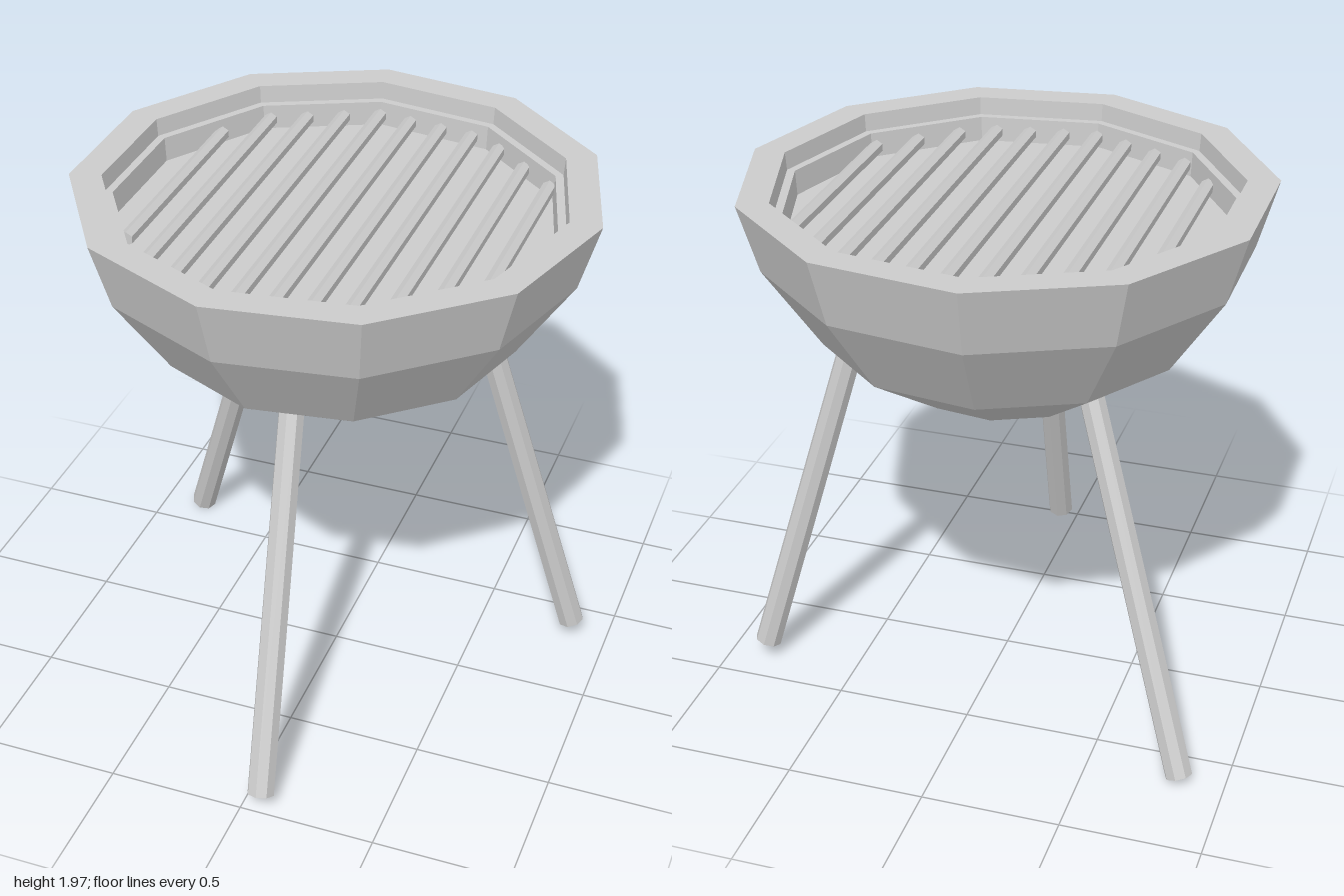
import * as THREE from 'three';

const SIDES = 11, CX = -0.024, CZ = -0.08;

// z range of the 11-sided opening of radius r along the line x = const (bowl coordinates)
function chord(x, r) {
  const zs = [];
  for (let i = 0; i < SIDES; i++) {
    const a = (i / SIDES) * Math.PI * 2, b = ((i + 1) / SIDES) * Math.PI * 2;
    const x0 = r * Math.cos(a), x1 = r * Math.cos(b);
    if ((x0 - x) * (x1 - x) > 0) continue;
    zs.push(THREE.MathUtils.lerp(r * Math.sin(a), r * Math.sin(b), (x - x0) / (x1 - x0)));
  }
  return [Math.min(...zs), Math.max(...zs)];
}

// faceted rod between two points
function rod(name, from, to, rFrom, rTo, sides, material) {
  const a = new THREE.Vector3(...from), b = new THREE.Vector3(...to);
  const dir = b.clone().sub(a);
  const mesh = new THREE.Mesh(new THREE.CylinderGeometry(rTo, rFrom, dir.length(), sides), material);
  mesh.name = name;
  mesh.position.copy(a).add(b).multiplyScalar(0.5);
  mesh.quaternion.setFromUnitVectors(new THREE.Vector3(0, 1, 0), dir.normalize());
  return mesh;
}

export function createModel() {
  const model = new THREE.Group();
  model.name = 'grill';
  const grey = new THREE.MeshStandardMaterial({ color: 0xcccccc, flatShading: true });

  // bowl: outer shell, flat rim, stepped ledge and inner floor in one profile
  const profile = [
    [0, 1.15], [0.362, 1.22], [0.66, 1.42], [0.862, 1.72], [0.934, 1.965],
    [0.82, 1.965], [0.815, 1.9], [0.785, 1.9], [0.78, 1.81], [0, 1.81],
  ].map(([r, y]) => new THREE.Vector2(r, y));
  const bowl = new THREE.Mesh(new THREE.LatheGeometry(profile, SIDES, Math.PI / 2), grey);
  bowl.name = 'bowl';
  bowl.position.set(CX, 0, CZ);
  model.add(bowl);

  // grate: parallel bars running front to back, cut to the opening
  const grate = new THREE.Group();
  grate.name = 'grate';
  grate.position.set(CX, 0, CZ);
  for (let i = 0; i < 11; i++) {
    const x = -0.61 + i * 0.125;
    const [z0, z1] = chord(x, 0.775);
    grate.add(rod('grateBar', [x, 1.85, z0], [x, 1.85, z1], 0.026, 0.026, 6, grey));
  }
  model.add(grate);

  // three splayed legs: foot point and the point where each meets the bowl
  const legs = [
    ['frontLeg', [0.062, 0.05, 0.955], [0, 1.34, 0.45]],
    ['rightLeg', [-0.835, 0.018, -0.635], [-0.415, 1.28, -0.335]],
    ['leftLeg', [0.855, 0.062, -0.35], [0.505, 1.35, -0.22]],
  ];
  for (const [name, foot, top] of legs) {
    const end = foot.map((v, k) => v + (top[k] - v) * 1.08);
    model.add(rod(name, foot, end, 0.05, 0.046, 8, grey));
  }
  return model;
}
